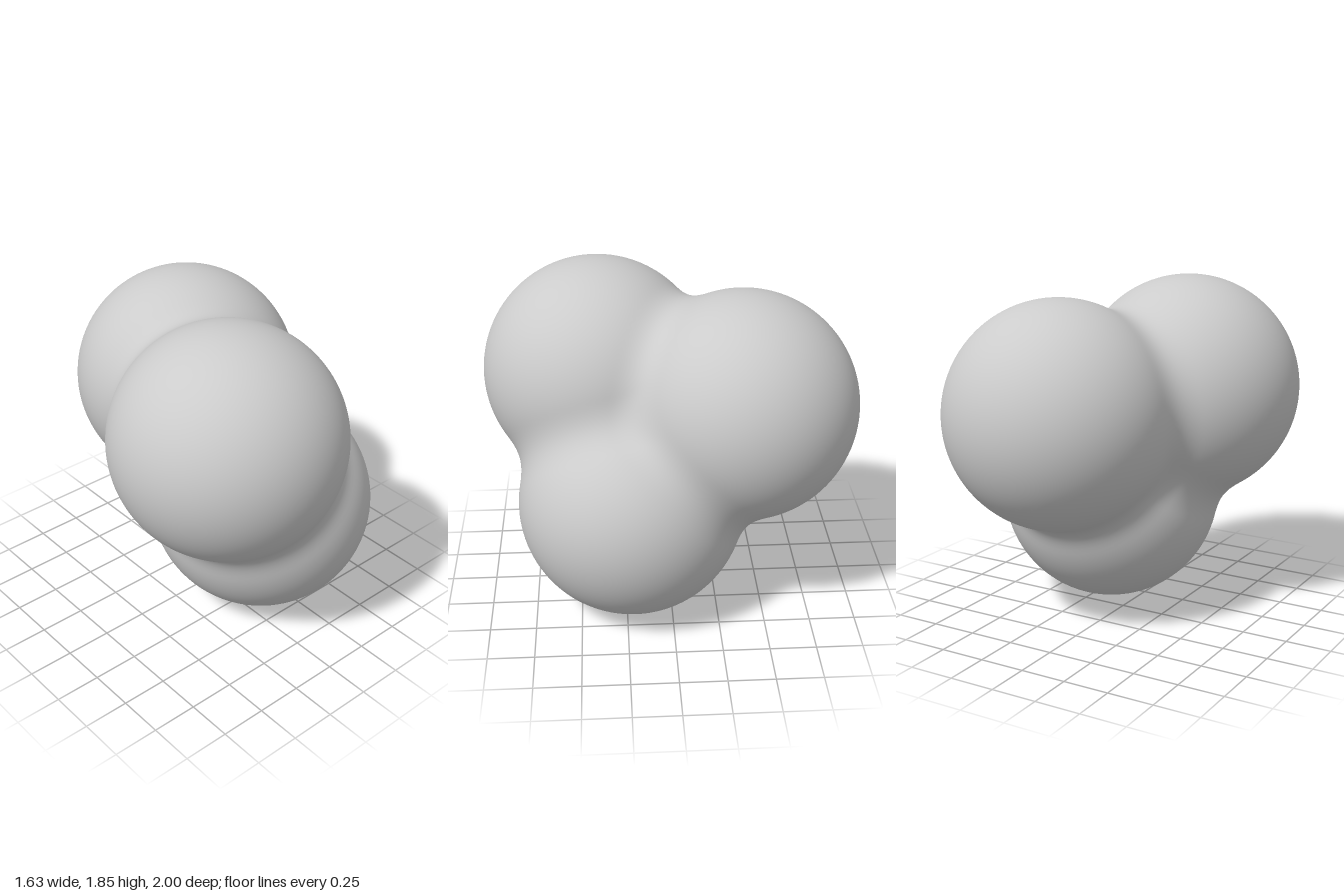
import * as THREE from 'three';
import { mergeVertices } from 'three/addons/utils/BufferGeometryUtils.js';

// Three overlapping lobes: centre and radius
const lobes = [
  { center: new THREE.Vector3(-0.2, 1.23, 0.38), radius: 0.62 }, // upper front
  { center: new THREE.Vector3(0.2, 0.61, 0.21), radius: 0.615 }, // lower
  { center: new THREE.Vector3(0.165, 1.165, -0.385), radius: 0.615 }, // upper back
];
const blend = 0.15; // width of the soft valley between lobes

// Smooth minimum, rounding the seam where two lobes meet
function smoothMin(a, b) {
  const h = Math.max(blend - Math.abs(a - b), 0) / blend;
  return Math.min(a, b) - h * h * blend * 0.25;
}

// Signed distance to the blended body
function distanceToBody(point) {
  return lobes.map((l) => point.distanceTo(l.center) - l.radius).reduce(smoothMin);
}

export function createModel() {
  const group = new THREE.Group();
  group.name = 'blendedLobes';

  // The middle lies inside every lobe, so each ray from it meets the skin once
  const middle = new THREE.Vector3();
  lobes.forEach((l) => middle.addScaledVector(l.center, 1 / lobes.length));

  // Indexed sphere whose vertices are pushed out along rays to the skin
  let geometry = new THREE.IcosahedronGeometry(1, 30);
  geometry.deleteAttribute('normal');
  geometry.deleteAttribute('uv');
  geometry = mergeVertices(geometry, 1e-4);

  const position = geometry.attributes.position;
  const direction = new THREE.Vector3();
  const point = new THREE.Vector3();
  for (let i = 0; i < position.count; i++) {
    direction.fromBufferAttribute(position, i).normalize();
    let near = 0;
    let far = 2;
    for (let step = 0; step < 24; step++) {
      const mid = (near + far) / 2;
      point.copy(middle).addScaledVector(direction, mid);
      if (distanceToBody(point) < 0) near = mid;
      else far = mid;
    }
    point.copy(middle).addScaledVector(direction, near);
    position.setXYZ(i, point.x, point.y, point.z);
  }
  geometry.computeVertexNormals();

  const body = new THREE.Mesh(geometry, new THREE.MeshStandardMaterial({ color: 0xcccccc }));
  body.name = 'body';
  group.add(body);
  return group;
}
